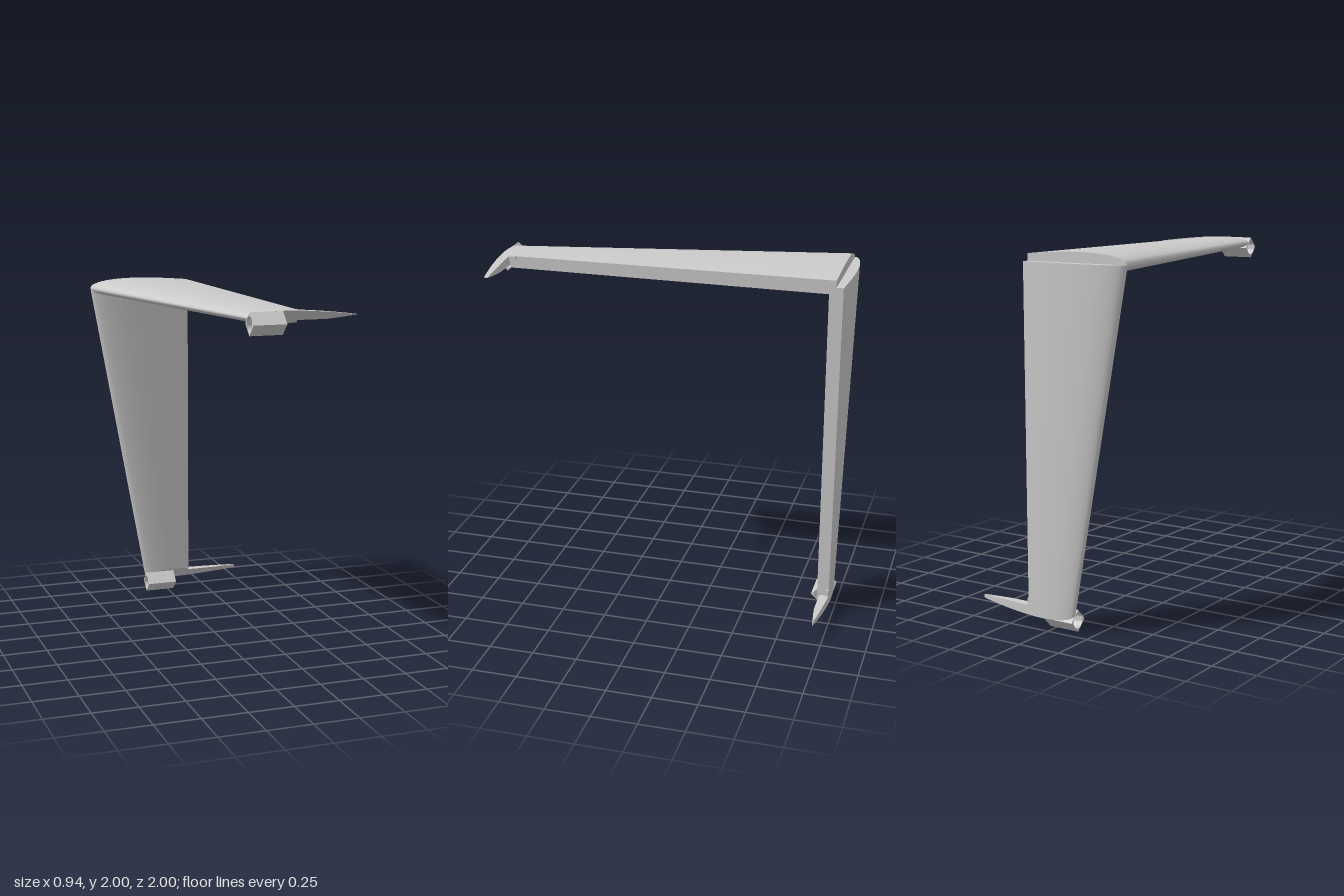
import * as THREE from 'three';
import { toCreasedNormals } from 'three/addons/utils/BufferGeometryUtils.js';

const material = new THREE.MeshStandardMaterial({ color: 0xcccccc });

// Wing axes: x = chord, t = depth below the outer skin, s = distance along the span.
const MID = 0.055, TRAIL = 0.465, CUT = 0.14, TIP = 1.96, STEPS = 18;

// Half thickness of a symmetric 12% airfoil at chord fraction u
const half = (u) => 0.6 * (0.2969 * Math.sqrt(u) - 0.126 * u - 0.3516 * u * u + 0.2843 * u ** 3 - 0.1015 * u ** 4);

// Upper, middle and lower lines of a section between two x positions
function section(lead, x0, x1, spanAt, maxT = 1) {
  const chord = TRAIL - lead;
  return [-1, 0, 1].map((side) => {
    const line = [];
    for (let k = 0; k <= STEPS; k++) {
      const x = x0 + (x1 - x0) * (k / STEPS) ** 1.7; // denser near the nose
      const t = Math.min(maxT, MID + side * half((x - lead) / chord) * chord);
      line.push([x, t, spanAt(t)]);
    }
    return line;
  });
}

// Closed solid between two sections; sign -1 mirrors the depth axis
function loft(root, tip, sign) {
  const positions = [];
  const tri = (a, b, c) => {
    for (const p of sign > 0 ? [a, b, c] : [a, c, b]) positions.push(p[0], sign * p[1], p[2]);
  };
  const sheet = (a, b) => {
    for (let k = 0; k < a.length - 1; k++) {
      tri(a[k], a[k + 1], b[k + 1]);
      tri(a[k], b[k + 1], b[k]);
    }
  };
  const [uR, mR, lR] = root, [uT, mT, lT] = tip;
  sheet(uR, uT); // skins
  sheet(lT, lR);
  sheet(mR, uR); // root end
  sheet(lR, mR);
  sheet(uT, mT); // tip end
  sheet(mT, lT);
  const column = (s, k) => s.map((line) => line[k]);
  sheet(column(root, STEPS), column(tip, STEPS)); // rear wall
  sheet(column(tip, 0), column(root, 0)); // front wall
  const geometry = new THREE.BufferGeometry();
  geometry.setAttribute('position', new THREE.Float32BufferAttribute(positions, 3));
  return toCreasedNormals(geometry, 0.5);
}

function part(group, name, geometry) {
  const mesh = new THREE.Mesh(geometry, material);
  mesh.name = name;
  group.add(mesh);
  return mesh;
}

function wingHalf(name, sign) {
  const group = new THREE.Group();
  group.name = name;
  const mitre = (t) => TIP - t;

  // Tapered panel, stepped at the root joint and mitred at the tip
  part(group, 'wingPanel', loft(
    section(-0.47, -0.47, CUT, (t) => Math.max(MID, t)),
    section(-0.14, -0.14, CUT, mitre), sign));

  // Thin trailing wedge left behind the control surface cut-out
  part(group, 'tipTail', loft(
    section(-0.14, CUT - 0.01, TRAIL, () => 1.885, 0.075),
    section(-0.14, CUT - 0.01, TRAIL, mitre, 0.075), sign));

  // Small hinge tab beside the wedge
  part(group, 'hingeTab', new THREE.BoxGeometry(0.015, 0.014, 0.04))
    .position.set(0.1425, sign * 0.03, 1.868);

  // Square sleeve standing on edge, with a round bore
  const shape = new THREE.Shape([[0.06, 0], [0, 0.06], [-0.06, 0], [0, -0.06]].map((p) => new THREE.Vector2(...p)));
  const bore = new THREE.Path();
  bore.absarc(0, 0, 0.041, 0, Math.PI * 2, true);
  shape.holes.push(bore);
  const sleeve = new THREE.ExtrudeGeometry(shape, { depth: 0.18, bevelEnabled: false, curveSegments: 16 });
  sleeve.rotateY(Math.PI / 2);
  part(group, 'tipSleeve', toCreasedNormals(sleeve, 0.6)).position.set(-0.14, sign * 0.08, 1.94);

  group.position.set(0, 2, -1);
  return group;
}

export function createModel() {
  const model = new THREE.Group();
  model.name = 'foldedWing';
  model.add(wingHalf('horizontalWing', -1));
  const upright = wingHalf('verticalWing', 1);
  upright.rotation.x = Math.PI / 2;
  model.add(upright);
  return model;
}
